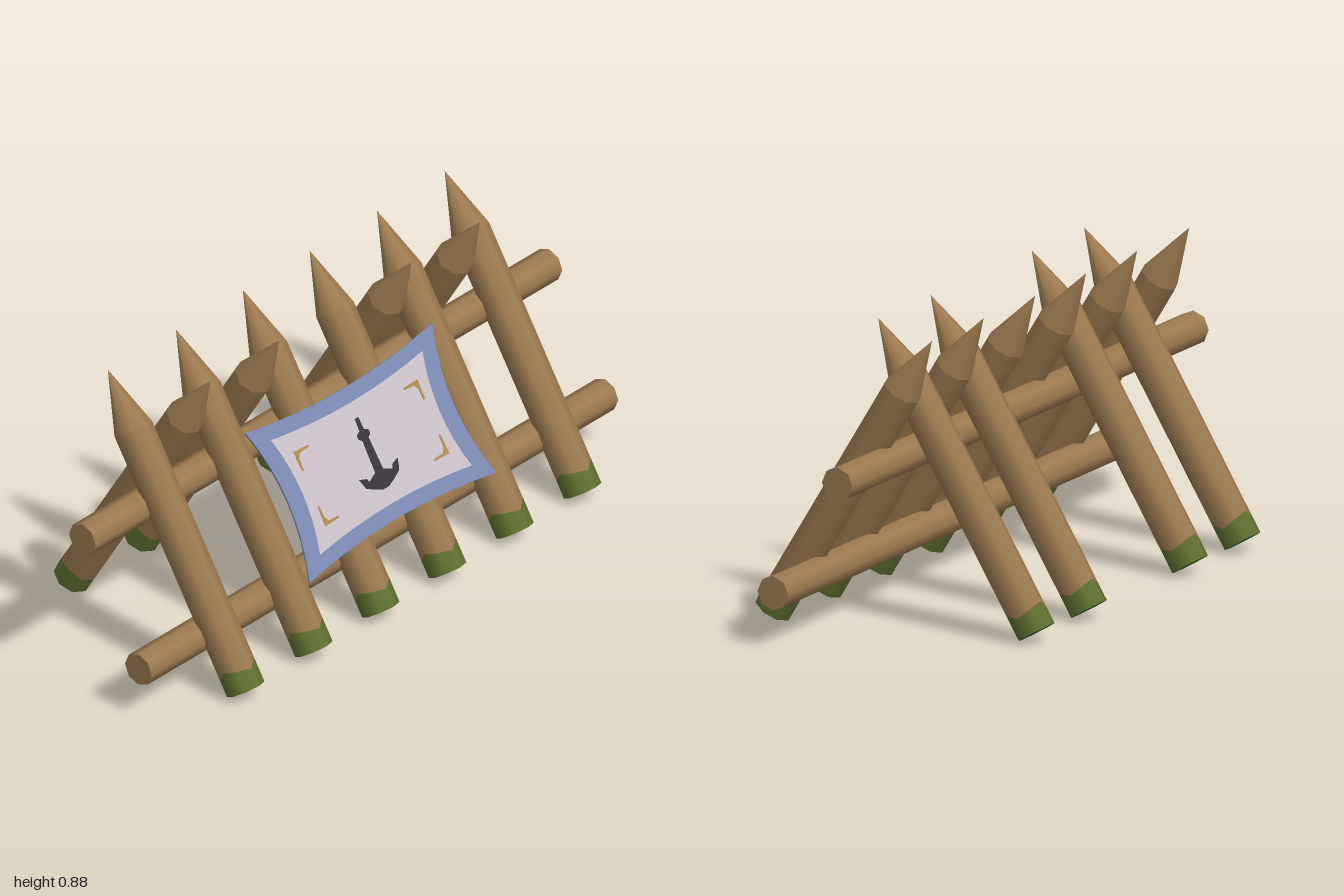
import * as THREE from 'three';

const mat = (name, color) => {
  const m = new THREE.MeshStandardMaterial({ color });
  m.name = name;
  return m;
};

const RADIUS = 0.0575, SHAFT = 0.81, TIP = 0.994, LEAN = 0.548, SIDES = 8;

export function createModel() {
  const wood = mat('wood', 0x9c7a50);
  const moss = mat('moss', 0x5f7030);
  const mossEnd = mat('darkMoss', 0x2f6638);
  const clothBlue = mat('clothBlue', 0x7a87b0);
  const clothPale = mat('clothPale', 0xc9bfc7);
  const gold = mat('gold', 0xb08a4c);
  const ink = mat('ink', 0x3a343c);

  const model = new THREE.Group();
  model.name = 'stakeBarricade';
  const add = (parent, name, geo, material) => {
    const mesh = new THREE.Mesh(geo, material);
    mesh.name = name;
    parent.add(mesh);
    return mesh;
  };

  // open tube between y0 and y1, with a ragged edge at the moss line
  const tube = (y0, y1, ragged) => {
    const geo = new THREE.CylinderGeometry(RADIUS, RADIUS, 1, SIDES, 1, true);
    const p = geo.attributes.position;
    for (let i = 0; i < p.count; i++) {
      const upper = p.getY(i) > 0;
      const a = Math.atan2(p.getX(i), p.getZ(i));
      const wave = upper === (ragged === 'top') ? 0.012 * Math.sin(3 * a + 0.8) : 0;
      p.setY(i, (upper ? y1 : y0) + wave);
    }
    return geo;
  };
  const shaftGeo = tube(0.064, SHAFT, 'bottom');
  const mossGeo = tube(0, 0.064, 'top');
  const endGeo = new THREE.CircleGeometry(RADIUS, SIDES).rotateX(Math.PI / 2);
  const pointGeo = new THREE.ConeGeometry(RADIUS, TIP - SHAFT, SIDES, 1, true)
    .translate(0, (SHAFT + TIP) / 2, 0);

  // leaning frame: local y runs up the stake, local x points outward on the +x side
  const leaning = (name, side, z) => {
    const g = new THREE.Group();
    g.name = name;
    g.position.set(side * 0.388, 0.032, z);
    g.rotation.z = side * LEAN;
    model.add(g);
    return g;
  };

  // sharpened stakes
  const stake = (name, side, z) => {
    const g = leaning(name, side, z);
    add(g, 'shaft', shaftGeo, wood);
    add(g, 'point', pointGeo, wood);
    add(g, 'mossBand', mossGeo, moss);
    add(g, 'mossEnd', endGeo, mossEnd);
  };
  [-0.722, -0.432, -0.143, 0.143, 0.43, 0.722].forEach((z) => stake('leftStake', 1, z));
  [-0.578, -0.284, 0.284, 0.578].forEach((z) => stake('rightStake', -1, z));

  // long horizontal beams
  const beamGeo = new THREE.CylinderGeometry(0.05, 0.05, 2, SIDES).rotateX(Math.PI / 2);
  add(model, 'upperBeam', beamGeo, wood).position.set(0.018, 0.505, 0);
  add(model, 'lowerBeam', beamGeo, wood).position.set(0.228, 0.16, 0);

  // banner stretched over the outer faces of the stakes
  const banner = leaning('banner', 1, 0);
  const plate = (name, shape, material, x, depth) => {
    const geo = new THREE.ExtrudeGeometry(shape, { depth, bevelEnabled: false, curveSegments: 8 });
    geo.rotateY(Math.PI / 2);
    add(banner, name, geo, material).position.set(x, 0.415, 0);
  };
  // rectangle with drawn-out corners (w, h) and edges pinched in to (mw, mh)
  const pinched = (w, h, mw, mh) => {
    const s = new THREE.Shape();
    const cw = 2 * mw - w, ch = 2 * mh - h;
    s.moveTo(-w, -h);
    s.quadraticCurveTo(0, -ch, w, -h);
    s.quadraticCurveTo(cw, 0, w, h);
    s.quadraticCurveTo(0, ch, -w, h);
    s.quadraticCurveTo(-cw, 0, -w, -h);
    return s;
  };
  plate('bannerBorder', pinched(0.4, 0.232, 0.355, 0.2), clothBlue, 0.057, 0.006);
  plate('bannerField', pinched(0.325, 0.178, 0.295, 0.155), clothPale, 0.0625, 0.002);

  // gold corner brackets
  const poly = (pts) => new THREE.Shape(pts.map(([x, y]) => new THREE.Vector2(x, y)));
  for (const sx of [-1, 1]) for (const sy of [-1, 1]) {
    const pts = [[0.265, 0.115], [0.205, 0.113], [0.205, 0.107], [0.245, 0.105],
      [0.255, 0.092], [0.257, 0.055], [0.263, 0.055]];
    plate('cornerBracket', poly(pts.map(([x, y]) => [x * sx, y * sy])), gold, 0.064, 0.002);
  }

  // anchor emblem, one half mirrored
  const half = [[0.007, 0.108], [0.009, 0.07], [0.024, 0.064], [0.024, 0.05], [0.013, 0.044],
    [0.016, -0.055], [0.05, -0.07], [0.055, -0.058], [0.082, -0.05], [0.07, -0.082],
    [0.04, -0.097], [0.012, -0.108]];
  const mirrored = half.map(([x, y]) => [-x, y]).reverse();
  plate('anchor', poly([...half, ...mirrored]), ink, 0.064, 0.002);

  return model;
}
